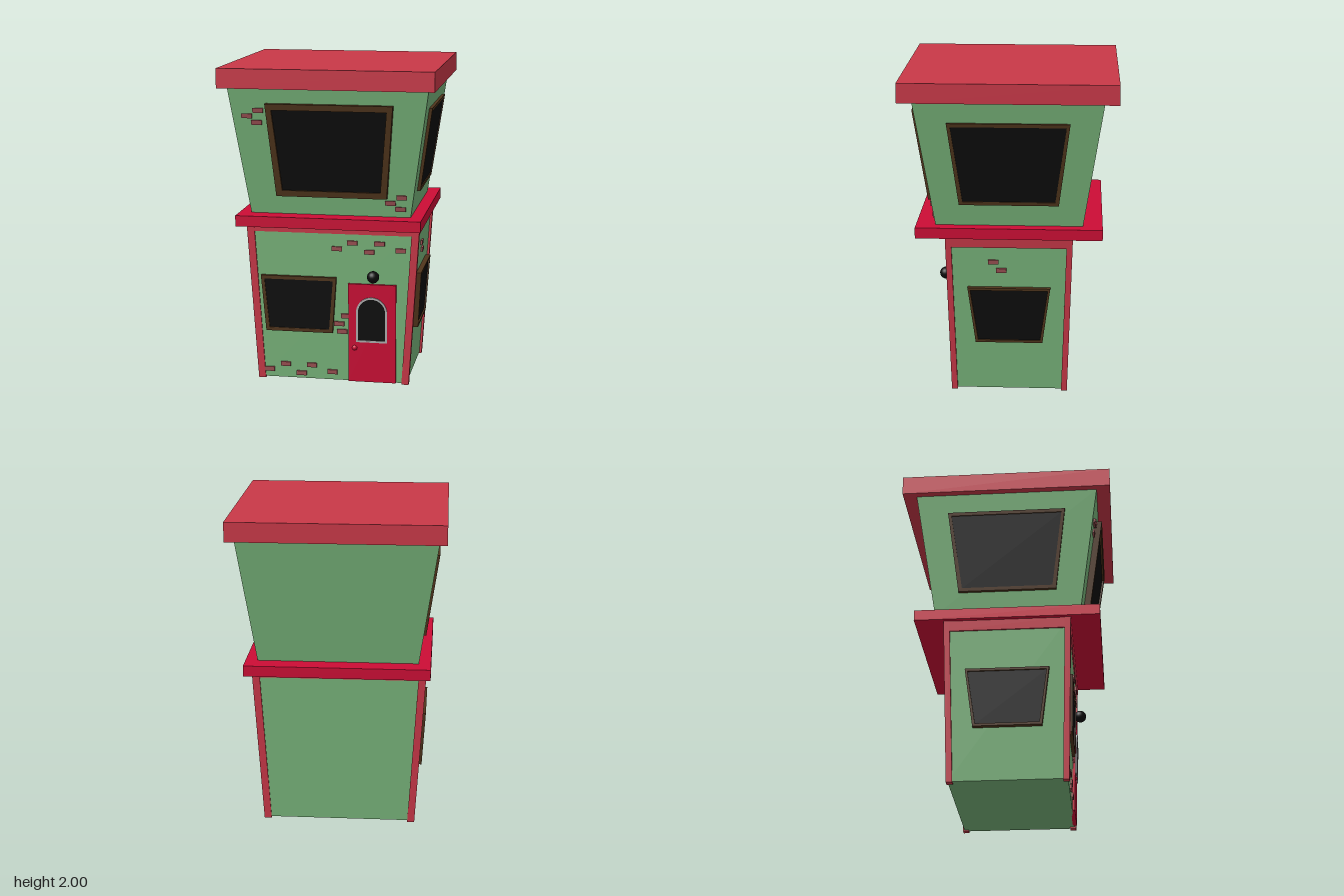
import * as THREE from 'three';

const mat = (color) => new THREE.MeshStandardMaterial({ color, flatShading: true });
const green = mat(0x78b47a), red = mat(0xc93848), crimson = mat(0xcc0d35);
const brown = mat(0x50351c), black = mat(0x0c0c0c), brick = mat(0x9a5052), grey = mat(0xb0b0b0);

// Wall offset from the centre line at height y: front and side, lower and upper storey
const lowFront = (y) => 0.355 + 0.025 * y;
const lowSide = (y) => 0.466 + 0.062 * y;
const upFront = (y) => 0.45 + 0.152 * (y - 1.09);
const upSide = (y) => 0.495 + 0.146 * (y - 1.09);

function add(parent, name, geometry, material) {
  const mesh = new THREE.Mesh(geometry, material);
  mesh.name = name;
  parent.add(mesh);
  return mesh;
}

// Box lofted between two rectangles, each given as [x, y, z, width, depth]
function loft(bottom, top) {
  const g = new THREE.BoxGeometry(1, 1, 1), p = g.attributes.position;
  for (let i = 0; i < p.count; i++) {
    const [x, y, z, w, d] = p.getY(i) < 0 ? bottom : top;
    p.setXYZ(i, x + p.getX(i) * w, y, z + p.getZ(i) * d);
  }
  g.computeVertexNormals();
  return g;
}

// Extrudes a wall outline from just inside the leaning wall to the given thickness
function onWall(shape, wall, thickness) {
  const g = new THREE.ExtrudeGeometry(shape, { depth: thickness + 0.01, bevelEnabled: false, curveSegments: 14 });
  const p = g.attributes.position;
  for (let i = 0; i < p.count; i++) p.setZ(i, p.getZ(i) - 0.01 + wall(p.getY(i)));
  g.computeVertexNormals();
  return g;
}

const polygon = (pts) => new THREE.Shape(pts.map(([x, y]) => new THREE.Vector2(x, y)));
const rect = (x0, y0, x1, y1) => polygon([[x0, y0], [x1, y0], [x1, y1], [x0, y1]]);

// Trapezoid window: bottom edge b0..b1 at y0, top edge t0..t1 at y1
function addWindow(parent, name, [b0, b1, y0, t0, t1, y1], border, wall, depth) {
  const group = new THREE.Group();
  group.name = name;
  const k = border;
  const outer = polygon([[b0, y0], [b1, y0], [t1, y1], [t0, y1]]);
  const inner = polygon([[b0 + k, y0 + k], [b1 - k, y0 + k], [t1 - k, y1 - k], [t0 + k, y1 - k]]);
  outer.holes.push(inner);
  add(group, 'windowFrame', onWall(outer, wall, depth), brown);
  add(group, 'windowGlass', onWall(inner, wall, depth * 0.7), black);
  parent.add(group);
}

function addBricks(parent, centres, wall) {
  for (const [x, y] of centres)
    add(parent, 'brick', onWall(rect(x - 0.032, y - 0.014, x + 0.032, y + 0.014), wall, 0.012), brick);
}

// Round-topped outline
function arch(x0, x1, y0, y1) {
  const r = (x1 - x0) / 2, s = new THREE.Shape();
  s.moveTo(x0, y0);
  s.lineTo(x1, y0);
  s.lineTo(x1, y1 - r);
  s.absarc(x0 + r, y1 - r, r, 0, Math.PI, false);
  s.closePath();
  return s;
}

export function createModel() {
  const house = new THREE.Group();
  house.name = 'house';

  // Storeys, ledge and roof slab
  const storey = (y, side, front) => [0, y, 0, 2 * side(y), 2 * front(y)];
  add(house, 'lowerWalls', loft(storey(0.008, lowSide, lowFront), storey(1.03, lowSide, lowFront)), green);
  add(house, 'upperWalls', loft(storey(1.09, upSide, upFront), storey(1.88, upSide, upFront)), green);
  add(house, 'ledge', loft([0, 1.025, 0, 1.14, 1.14], [0, 1.092, 0, 1.14, 1.14]), crimson);
  add(house, 'roof', loft([0, 1.88, 0, 1.31, 1.31], [0, 2, 0, 1.31, 1.31]), red);

  // Corner posts and the trim band under the ledge
  for (const sx of [-1, 1]) for (const sz of [-1, 1])
    add(house, 'cornerPost', loft(
      [sx * 0.458, 0, sz * 0.345, 0.045, 0.037],
      [sx * 0.521, 1.03, sz * 0.372, 0.047, 0.037]), red);
  add(house, 'trimBand', loft([0, 0.96, 0, 1.07, 0.774], [0, 1.03, 0, 1.08, 0.778]), red);

  // Front windows and bricks
  addWindow(house, 'upperFrontWindow', [-0.325, 0.355, 1.21, -0.375, 0.4, 1.785], 0.038, upFront, 0.04);
  addWindow(house, 'lowerFrontWindow', [-0.425, 0, 0.32, -0.455, 0.025, 0.68], 0.022, lowFront, 0.022);
  addBricks(house, [
    [-0.41, 0.06], [-0.305, 0.098], [-0.203, 0.042], [-0.137, 0.098], [-0.005, 0.06],
    [0.06, 0.33], [0.04, 0.38], [0.085, 0.432],
    [0.028, 0.865], [0.125, 0.905], [0.23, 0.85], [0.295, 0.905], [0.428, 0.866]], lowFront);
  addBricks(house, [
    [-0.495, 1.705], [-0.425, 1.74], [-0.435, 1.665],
    [0.373, 1.18], [0.443, 1.217], [0.435, 1.143]], upFront);

  // Door with arched pane, knob and lamp above
  const door = new THREE.Group();
  door.name = 'door';
  house.add(door);
  add(door, 'doorPanel', onWall(rect(0.1, 0.008, 0.4, 0.645), lowFront, 0.016), crimson);
  const paneFrame = arch(0.15, 0.345, 0.27, 0.562), pane = arch(0.162, 0.333, 0.282, 0.55);
  paneFrame.holes.push(pane);
  add(door, 'paneFrame', onWall(paneFrame, lowFront, 0.024), grey);
  add(door, 'doorPane', onWall(pane, lowFront, 0.019), black);
  const ball = (name, r, x, y, z, color) =>
    add(house, name, new THREE.SphereGeometry(r, 20, 14), new THREE.MeshStandardMaterial({ color }))
      .position.set(x, y, z);
  ball('doorKnob', 0.018, 0.14, 0.23, 0.37, 0xcc0d35);
  ball('lamp', 0.038, 0.26, 0.7, 0.412, 0x0c0c0c);

  // Both side walls
  for (const s of [1, -1]) {
    const wall = new THREE.Group();
    wall.name = s > 0 ? 'leftSide' : 'rightSide';
    wall.rotation.y = s * Math.PI / 2;
    addWindow(wall, 'upperSideWindow', [-0.303, 0.303, 1.23, -0.368, 0.368, 1.752], 0.022, upSide, 0.02);
    addWindow(wall, 'lowerSideWindow', [-0.208, 0.208, 0.335, -0.255, 0.255, 0.7], 0.016, lowSide, 0.032);
    if (s > 0) addBricks(wall, [[-0.095, 0.865], [-0.048, 0.81]], lowSide);
    house.add(wall);
  }
  return house;
}
